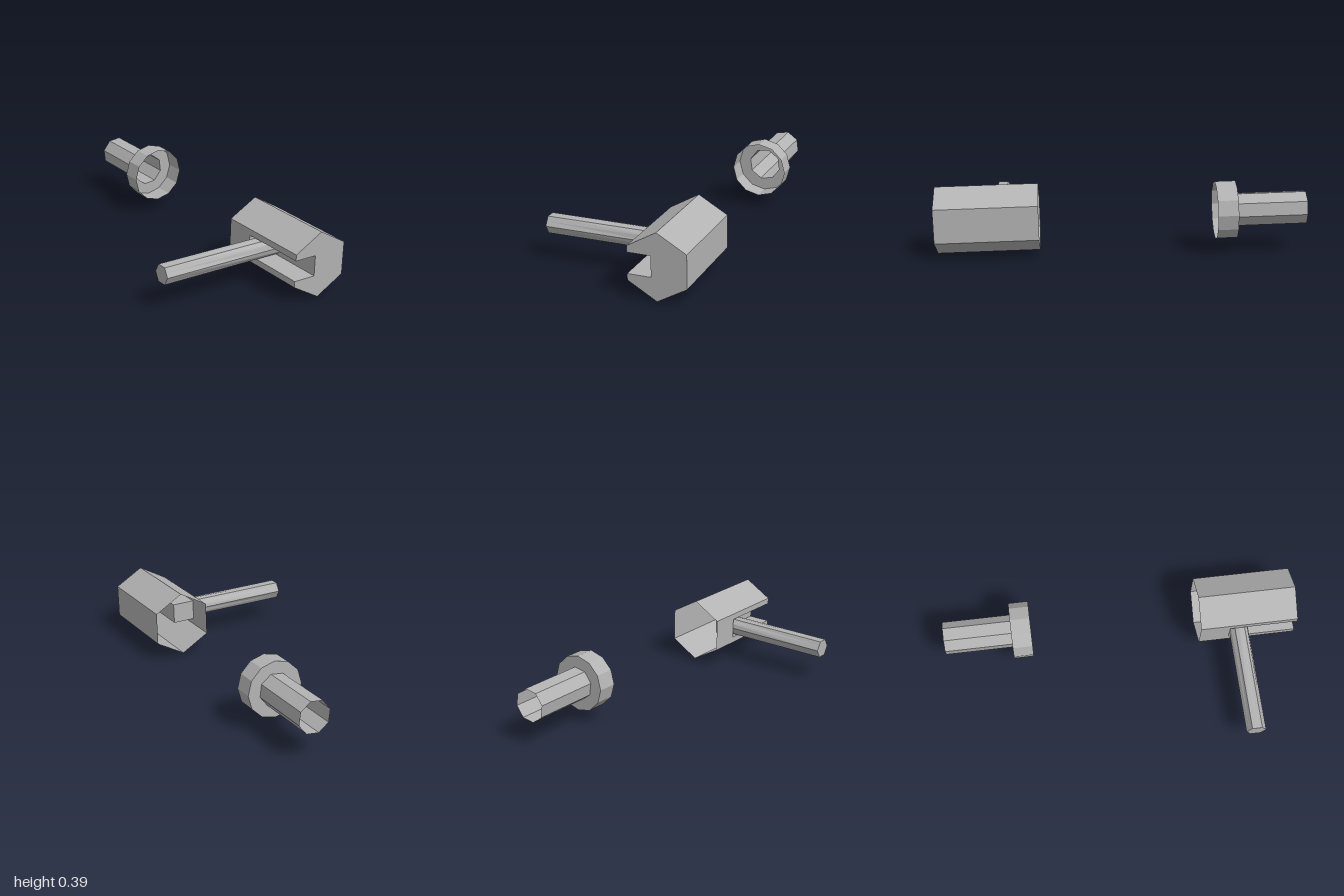
import * as THREE from 'three';

const steel = new THREE.MeshStandardMaterial({ color: 0xb3b3b3, flatShading: true, side: THREE.DoubleSide });
steel.name = 'steel grey';

// Corners of a regular polygon in the xy plane, starting at an angle in degrees
function polygon(sides, radius, startDeg) {
  return Array.from({ length: sides }, (_, i) => {
    const a = THREE.MathUtils.degToRad(startDeg + (360 * i) / sides);
    return new THREE.Vector2(radius * Math.cos(a), radius * Math.sin(a));
  });
}

// Flat quads, each given by four [x, y, z] corners
function quads(list) {
  const positions = [];
  for (const [a, b, c, d] of list) positions.push(...a, ...b, ...c, ...a, ...c, ...d);
  const g = new THREE.BufferGeometry();
  g.setAttribute('position', new THREE.Float32BufferAttribute(positions, 3));
  g.computeVertexNormals();
  return g;
}

// Open prism wall between two z positions; skip leaves one side out
function prism(points, z0, z1, skip = -1) {
  const list = [];
  points.forEach((p, i) => {
    if (i === skip) return;
    const q = points[(i + 1) % points.length];
    list.push([[p.x, p.y, z0], [q.x, q.y, z0], [q.x, q.y, z1], [p.x, p.y, z1]]);
  });
  return quads(list);
}

export function createModel() {
  const model = new THREE.Group();
  model.name = 'boltAssembly';
  const axis = new THREE.Group();
  axis.name = 'tiltedAxis';
  axis.position.set(0.298, 0.2115, 0);
  axis.rotation.x = 0.028;
  model.add(axis);

  const add = (name, geometry, parent = axis) => {
    const mesh = new THREE.Mesh(geometry, steel);
    mesh.name = name;
    parent.add(mesh);
    return mesh;
  };

  // Hexagonal body: open at the back, notched on its -x side
  const body = new THREE.Group();
  body.name = 'hexBody';
  axis.add(body);
  const front = 0.995, back = 0.442, slotBack = 0.612;
  const slotIn = -0.031, slotH = 0.057;
  const hex = polygon(6, 0.183, 90);
  const side = hex[1].x, sideH = hex[1].y;
  add('bodyWalls', prism(hex, back, front, 1), body);

  const sidePanel = (y0, y1, z0, z1) =>
    [[side, y0, z0], [side, y0, z1], [side, y1, z1], [side, y1, z0]];
  add('slottedWall', quads([
    sidePanel(-sideH, sideH, back, slotBack),
    sidePanel(slotH, sideH, slotBack, front),
    sidePanel(-sideH, -slotH, slotBack, front),
  ]), body);

  // Front cap with the slot cut out of its edge
  const capPoints = [hex[0], hex[1],
    new THREE.Vector2(side, slotH), new THREE.Vector2(slotIn, slotH),
    new THREE.Vector2(slotIn, -slotH), new THREE.Vector2(side, -slotH),
    hex[2], hex[3], hex[4], hex[5]];
  add('frontCap', new THREE.ShapeGeometry(new THREE.Shape(capPoints)), body).position.z = front;

  // Slot lining: floor, ceiling, inner wall and back wall
  const shelf = (y, s) => {
    const c = [[side, y, front], [slotIn, y, front], [slotIn, y, slotBack], [side, y, slotBack]];
    return s > 0 ? c : c.reverse();
  };
  add('slotLining', quads([
    shelf(-slotH, 1),
    shelf(slotH, -1),
    [[slotIn, -slotH, front], [slotIn, slotH, front], [slotIn, slotH, slotBack], [slotIn, -slotH, slotBack]],
    [[side, -slotH, slotBack], [slotIn, -slotH, slotBack], [slotIn, slotH, slotBack], [side, slotH, slotBack]],
  ]), body);

  // Handle: twelve sides at the body easing into a hexagon at the tip
  const length = 0.724;
  const handleGeo = new THREE.CylinderGeometry(0.055, 0.055, length, 12, 1);
  const pos = handleGeo.attributes.position;
  for (let i = 0; i < pos.count; i++) {
    if (pos.getY(i) < 0) continue;
    const x = pos.getX(i), z = pos.getZ(i);
    const step = Math.round(Math.atan2(x, z) / (Math.PI / 6));
    if (Math.abs(step) % 2 === 1) pos.setXYZ(i, x * 0.866, pos.getY(i), z * 0.866);
  }
  handleGeo.rotateZ(Math.PI / 2);
  add('handle', handleGeo).position.set(slotIn - length / 2, 0, 0.667);

  // Flanged sleeve: open collar, back ring and open tube
  const sleeve = new THREE.Group();
  sleeve.name = 'flangedSleeve';
  axis.add(sleeve);
  const collar = polygon(12, 0.158, 0);
  const tube = polygon(8, 0.0925, 30.5);
  const collarFront = -0.507, collarBack = -0.618;
  add('collarWall', prism(collar, collarBack, collarFront), sleeve);
  const ring = new THREE.Shape(collar);
  ring.holes.push(new THREE.Path(tube));
  add('collarBack', new THREE.ShapeGeometry(ring), sleeve).position.z = collarBack;
  add('tube', prism(tube, -0.9975, collarBack), sleeve);

  return model;
}
